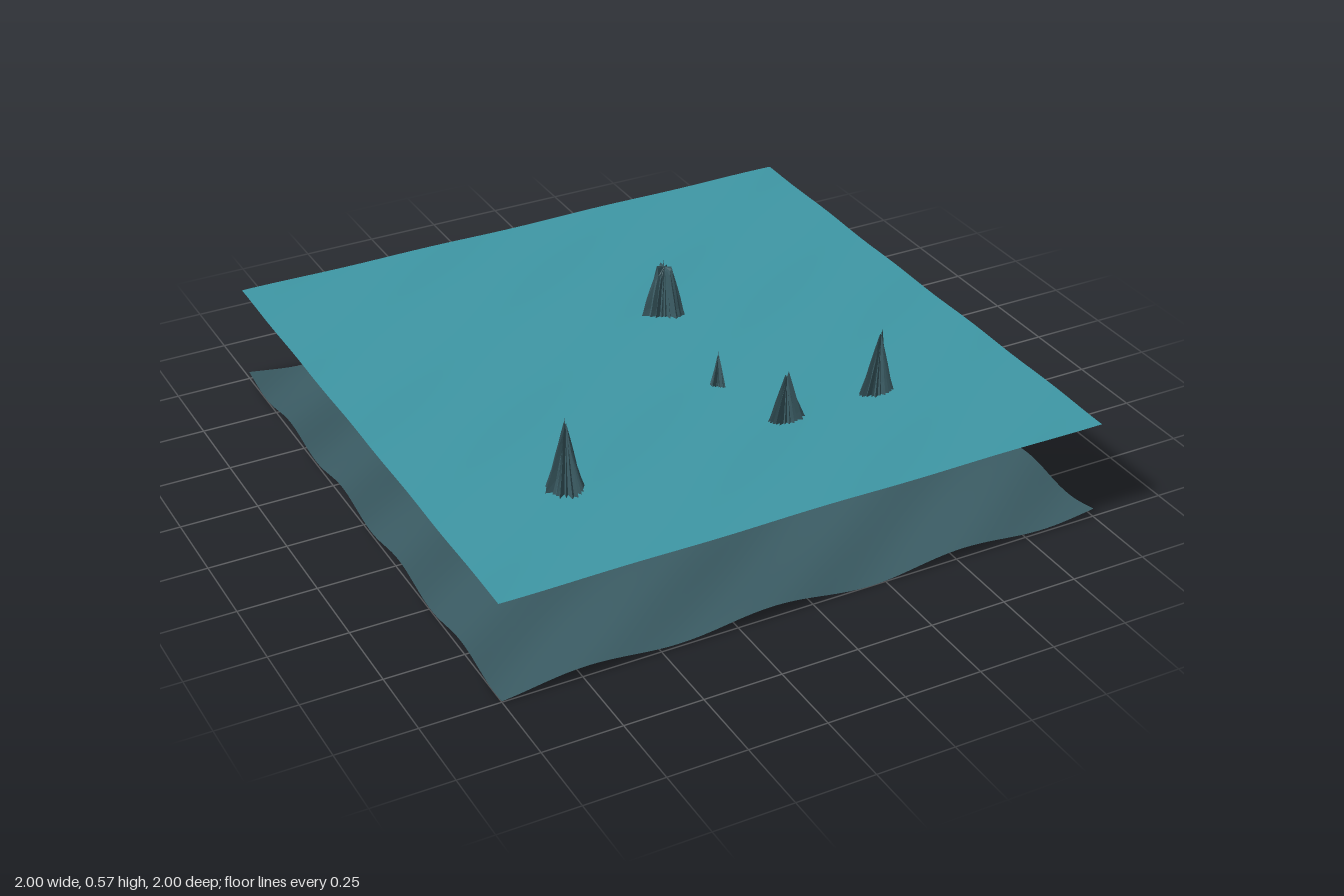
import * as THREE from 'three';

const waterMat = new THREE.MeshStandardMaterial({ color: 0x3f98a6, side: THREE.DoubleSide });
waterMat.name = 'waterTeal';
const stoneMat = new THREE.MeshStandardMaterial({ color: 0x3b5c64, side: THREE.DoubleSide, flatShading: true });
stoneMat.name = 'stoneSlate';
const bedMat = new THREE.MeshStandardMaterial({ color: 0x3b5c64, side: THREE.DoubleSide });
bedMat.name = 'seabedSlate';

// Small seeded random generator
function seeded(seed) {
  let s = seed;
  return () => {
    s = (s * 16807) % 2147483647;
    return s / 2147483647;
  };
}

// Square sheet whose height follows a wave rule
function sheet(name, material, heightAt) {
  const geo = new THREE.PlaneGeometry(2, 2, 80, 80).rotateX(-Math.PI / 2);
  const p = geo.attributes.position;
  for (let i = 0; i < p.count; i++) p.setY(i, heightAt(p.getX(i), p.getZ(i)));
  geo.computeVertexNormals();
  const mesh = new THREE.Mesh(geo, material);
  mesh.name = name;
  return mesh;
}

// Rings of a rock: [height fraction, radius fraction]
const RINGS = [[0, 0.88], [0.1, 0.93], [0.28, 1], [0.4, 0.86], [0.52, 0.72], [0.65, 0.5], [0.77, 0.36], [0.88, 0.22], [1, 0.06]];
const SIDES = 44;

// Fluted spire: smooth facets at the foot, ragged blades towards the tip
function rock({ x, z, rx, rz, top, tip = [0, 0], lobes = 0, phase = 0, blunt = 0, seed }) {
  const rand = seeded(seed);
  const foot = 0.1, height = top - foot;
  const flute = [], reach = [], sill = [];
  for (let j = 0; j < SIDES; j++) {
    flute.push((j % 2 ? -0.7 : 0.35) * rand() + (rand() - 0.5) * 0.3);
    reach.push(0.82 + 0.15 * rand());
    sill.push(0.015 * rand());
  }
  reach[Math.floor(rand() * SIDES)] = 1;

  const pos = [], index = [];
  RINGS.forEach(([t, r], i) => {
    const rough = 0.1 + 0.5 * Math.min(1, t * 1.6);
    const wide = r + blunt * Math.max(0, t - 0.4);
    for (let j = 0; j < SIDES; j++) {
      const a = (j / SIDES) * Math.PI * 2;
      const lobe = 1 + lobes * t * (Math.cos(3 * a + phase) - 0.2);
      const k = wide * lobe * (1 + rough * flute[j]);
      const y = i === 0 ? foot + sill[j] : foot + height * t * (1 - (1 - reach[j]) * t);
      pos.push(x + tip[0] * t + rx * k * Math.cos(a), y, z + tip[1] * t + rz * k * Math.sin(a));
    }
  });
  for (let i = 0; i < RINGS.length - 1; i++) {
    for (let j = 0; j < SIDES; j++) {
      const n = (j + 1) % SIDES;
      const a = i * SIDES + j, b = i * SIDES + n;
      index.push(a, a + SIDES, b, b, a + SIDES, b + SIDES);
    }
  }
  // Close the foot and the tip
  const under = pos.length / 3, apex = under + 1, last = (RINGS.length - 1) * SIDES;
  pos.push(x, foot, z, x + tip[0], foot + height * 0.95, z + tip[1]);
  for (let j = 0; j < SIDES; j++) {
    const n = (j + 1) % SIDES;
    index.push(under, j, n, apex, last + n, last + j);
  }
  const geo = new THREE.BufferGeometry();
  geo.setAttribute('position', new THREE.Float32BufferAttribute(pos, 3));
  geo.setIndex(index);
  geo.computeVertexNormals();
  return new THREE.Mesh(geo, stoneMat);
}

export function createModel() {
  const model = new THREE.Group();
  model.name = 'seaWithRocks';

  // Rippled seabed and nearly still water
  model.add(sheet('seabed', bedMat, (x, z) =>
    0.02 + 0.015 * Math.sin(10 * x + 14 * z + 1.35) + 0.005 * Math.sin(5 * x - 3 * z)));
  model.add(sheet('waterSurface', waterMat, (x, z) =>
    0.333 + 0.0015 * Math.sin(10 * x + 14 * z) + 0.001 * Math.sin(4 * x - 5 * z)));

  // Rock spires
  const rocks = new THREE.Group();
  rocks.name = 'rocks';
  [
    { x: -0.585, z: 0.565, rx: 0.076, rz: 0.073, top: 0.575, tip: [0, 0.008], seed: 11 },
    { x: 0.165, z: -0.237, rx: 0.085, rz: 0.09, top: 0.515, lobes: 0.35, phase: Math.PI, blunt: 0.35, seed: 27 },
    { x: 0.093, z: 0.252, rx: 0.047, rz: 0.056, top: 0.45, lobes: 0.3, phase: 2.6, seed: 35 },
    { x: 0.182, z: 0.532, rx: 0.095, rz: 0.05, top: 0.5, tip: [-0.01, 0], seed: 48 },
    { x: 0.498, z: 0.515, rx: 0.078, rz: 0.046, top: 0.55, tip: [0.012, 0.003], seed: 59 },
  ].forEach((spec, i) => {
    const mesh = rock(spec);
    mesh.name = `rock${i + 1}`;
    rocks.add(mesh);
  });
  model.add(rocks);
  return model;
}
